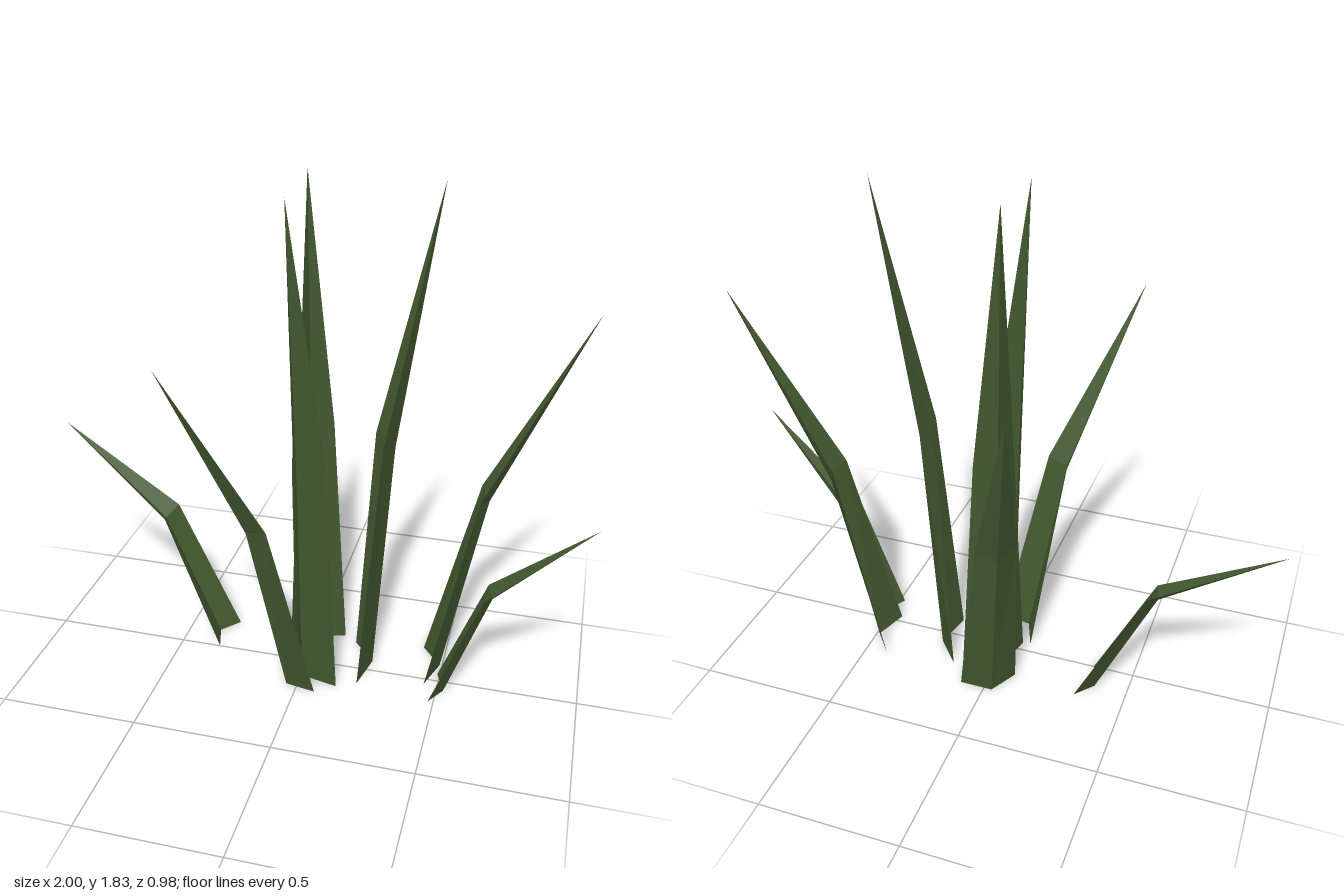
import * as THREE from 'three';

const leaf = new THREE.MeshStandardMaterial({ color: 0x42582f, flatShading: true, side: THREE.DoubleSide });
leaf.name = 'leafGreen';

// One folded blade: a V section (edge, spine, edge) at the ground and at the bend, closing to a tip.
// base: three [x, z] pairs; bend: three [x, y, z] points; tip: [x, y, z]
function blade(name, base, bend, tip) {
  const low = base.map(([x, z]) => [x, 0, z]);
  const pos = [];
  for (let i = 0; i < 2; i++) {
    pos.push(...low[i], ...low[i + 1], ...bend[i + 1]);
    pos.push(...low[i], ...bend[i + 1], ...bend[i]);
    pos.push(...bend[i], ...bend[i + 1], ...tip);
  }
  const g = new THREE.BufferGeometry();
  g.setAttribute('position', new THREE.Float32BufferAttribute(pos, 3));
  g.computeVertexNormals();
  const mesh = new THREE.Mesh(g, leaf);
  mesh.name = name;
  return mesh;
}

export function createModel() {
  const group = new THREE.Group();
  group.name = 'grassClump';
  group.add(
    // low drooping blades on either side
    blade('rightDroopingBlade',
      [[-0.32, -0.17], [-0.38, -0.10], [-0.35, 0]],
      [[-0.56, 0.50, -0.18], [-0.59, 0.47, -0.12], [-0.575, 0.49, -0.07]],
      [-1, 0.79, -0.19]),
    blade('leftDroopingBlade',
      [[0.48, 0.125], [0.525, 0.05], [0.49, -0.04]],
      [[0.65, 0.455, 0.125], [0.675, 0.44, 0.07], [0.655, 0.46, 0.015]],
      [1, 0.79, 0.125]),
    // medium leaning blades
    blade('leftLeaningBlade',
      [[0.415, -0.19], [0.49, -0.095], [0.45, 0.03]],
      [[0.59, 0.74, -0.185], [0.625, 0.72, -0.11], [0.60, 0.74, -0.045]],
      [0.93, 1.41, -0.17]),
    blade('frontLeaningBlade',
      [[-0.085, 0.04], [-0.04, 0.155], [0.07, 0.175]],
      [[-0.165, 0.72, 0.19], [-0.145, 0.69, 0.265], [-0.07, 0.71, 0.28]],
      [-0.35, 1.35, 0.49]),
    blade('backLeaningBlade',
      [[0.09, -0.245], [-0.03, -0.245], [-0.085, -0.14]],
      [[-0.005, 0.67, -0.325], [-0.085, 0.645, -0.33], [-0.125, 0.67, -0.245]],
      [-0.17, 1.28, -0.49]),
    // tall upright blades in the middle
    blade('leftTallBlade',
      [[0.155, -0.155], [0.24, -0.055], [0.21, 0.09]],
      [[0.215, 0.93, -0.125], [0.295, 0.91, -0.065], [0.27, 0.94, 0.025]],
      [0.42, 1.83, -0.09]),
    blade('frontTallBlade',
      [[-0.04, -0.03], [0.005, 0.095], [0.14, 0.125]],
      [[-0.045, 0.92, 0.03], [-0.01, 0.89, 0.115], [0.095, 0.91, 0.13]],
      [-0.035, 1.8, 0.14]),
    blade('backTallBlade',
      [[0.105, -0.19], [-0.01, -0.15], [-0.055, 0.04]],
      [[0.05, 0.91, -0.19], [-0.03, 0.89, -0.17], [-0.055, 0.91, -0.075]],
      [-0.05, 1.82, -0.19])
  );
  return group;
}
